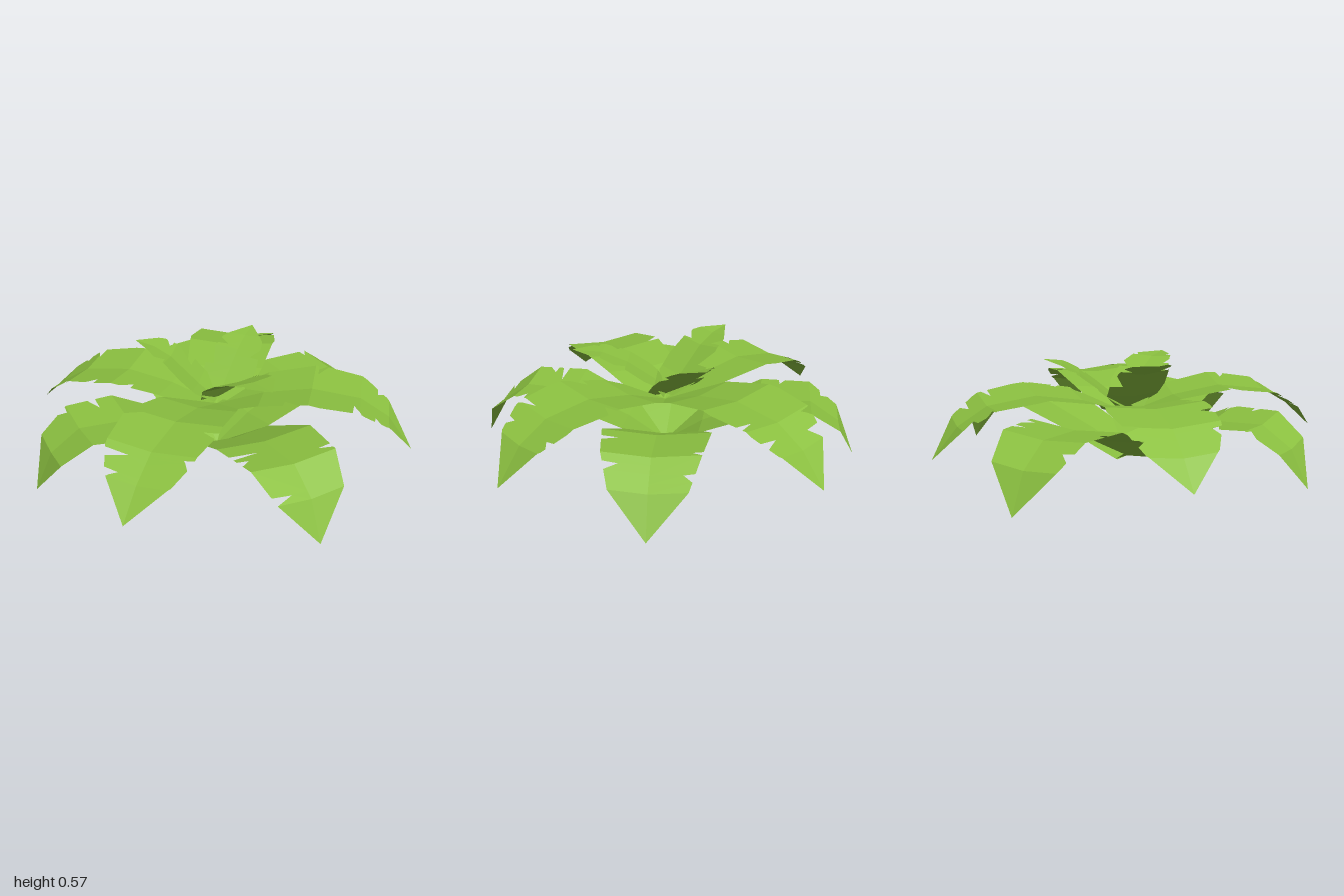
import * as THREE from 'three';

// Piecewise linear lookup in a list of [t, value] knots.
function sample(knots, t) {
  for (let i = 1; i < knots.length; i++) {
    const [t0, v0] = knots[i - 1], [t1, v1] = knots[i];
    if (t <= t1) return v0 + (v1 - v0) * (t - t0) / (t1 - t0);
  }
  return knots[knots.length - 1][1];
}

// Leaf blade along +z: height profile, half-width outline, raised edges,
// and torn notches given as [side, position, depth, length].
function leafGeometry(profile, outline, fold, notches) {
  const pos = [];
  const end = profile[profile.length - 1][0];
  for (const side of [-1, 1]) {
    const cuts = notches.filter((n) => n[0] === side);
    const ts = [...profile, ...outline].map((k) => k[0]);
    for (const [, t, , len] of cuts) ts.push(t - 0.004, t, t + len);
    const stations = [...new Set(ts)].filter((t) => t <= end).sort((a, b) => a - b);
    const rib = (t) => [0, sample(profile, t), t];
    const edge = (t) => {
      let w = sample(outline, t);
      for (const [, t0, depth, len] of cuts) {
        if (t >= t0 && t < t0 + len) w -= depth * (1 - (t - t0) / len);
      }
      w = Math.max(w, 0);
      return [side * w, sample(profile, t) + fold * w, t];
    };
    for (let i = 1; i < stations.length; i++) {
      const a = rib(stations[i - 1]), b = rib(stations[i]);
      const c = edge(stations[i - 1]), d = edge(stations[i]);
      const tris = side > 0 ? [a, b, c, c, b, d] : [a, c, b, c, d, b];
      pos.push(...tris.flat());
    }
  }
  const g = new THREE.BufferGeometry();
  g.setAttribute('position', new THREE.Float32BufferAttribute(pos, 3));
  g.computeVertexNormals();
  return g;
}

export function createModel() {
  const group = new THREE.Group();
  const green = new THREE.MeshStandardMaterial({ color: 0x8bc040, flatShading: true, side: THREE.DoubleSide });
  green.name = 'leafGreen';

  function addLeaf(name, x, z, profile, outline, fold, notches) {
    const leaf = new THREE.Mesh(leafGeometry(profile, outline, fold, notches), green);
    leaf.name = name;
    leaf.rotation.y = Math.atan2(x, z);
    group.add(leaf);
  }

  // Lower ring: four arching leaves whose tips touch the ground
  const lowProfile = [[0, 0.01], [0.2, 0.14], [0.5, 0.27], [0.76, 0.285], [0.91, 0.185], [1, 0]];
  const lowOutline = [[0, 0.12], [0.1, 0.17], [0.2, 0.21], [0.5, 0.26], [0.76, 0.225], [0.91, 0.175], [1, 0]];
  const lowLeaves = [
    ['lowerLeafFront', -0.01, 1, [[-1, 0.6, 0.15, 0.03], [-1, 0.66, 0.06, 0.04], [-1, 0.88, 0.1, 0.03], [1, 0.71, 0.07, 0.03]]],
    ['lowerLeafBack', 0, -1, [[-1, 0.54, 0.05, 0.06], [-1, 0.65, 0.06, 0.03], [1, 0.6, 0.05, 0.03], [1, 0.82, 0.06, 0.04]]],
    ['lowerLeafLeft', 1, -0.07, [[1, 0.73, 0.05, 0.03], [1, 0.84, 0.05, 0.03], [-1, 0.58, 0.08, 0.04], [-1, 0.8, 0.07, 0.03]]],
    ['lowerLeafRight', -1, -0.02, [[-1, 0.6, 0.09, 0.04], [-1, 0.77, 0.05, 0.04], [1, 0.48, 0.06, 0.05], [1, 0.63, 0.05, 0.03]]],
  ];
  for (const [name, x, z, notches] of lowLeaves) {
    addLeaf(name, x, z, lowProfile, lowOutline, 0.09, notches);
  }

  // Middle ring: four diagonal leaves
  const midOutline = [[0, 0.08], [0.12, 0.17], [0.25, 0.21], [0.56, 0.25], [0.78, 0.22], [0.89, 0.165], [1.03, 0]];
  const midLeaves = [
    ['middleLeafFrontLeft', 0.79, 0.65, 0.09, [[1, 0.52, 0.09, 0.05], [1, 0.84, 0.05, 0.03], [-1, 0.38, 0.06, 0.07], [-1, 0.72, 0.1, 0.04], [-1, 0.83, 0.05, 0.03]]],
    ['middleLeafFrontRight', -0.8, 0.65, 0.14, [[1, 0.56, 0.08, 0.04], [1, 0.77, 0.05, 0.04], [-1, 0.5, 0.07, 0.05], [-1, 0.79, 0.12, 0.03], [-1, 0.87, 0.07, 0.03]]],
    ['middleLeafBackRight', -0.74, -0.74, 0.15, [[1, 0.4, 0.05, 0.06], [1, 0.6, 0.06, 0.05], [1, 0.78, 0.05, 0.04], [-1, 0.74, 0.09, 0.04], [-1, 0.82, 0.05, 0.03]]],
    ['middleLeafBackLeft', 0.62, -0.81, 0.11, [[1, 0.76, 0.06, 0.04], [1, 0.84, 0.08, 0.06], [-1, 0.7, 0.1, 0.03], [-1, 0.82, 0.1, 0.03]]],
  ];
  for (const [name, x, z, tipY, notches] of midLeaves) {
    const profile = [[0, 0.25], [0.25, 0.34], [0.5, 0.385], [0.75, 0.355], [0.9, 0.265], [1.03, tipY]];
    addLeaf(name, x, z, profile, midOutline, 0.1, notches);
  }

  // Crown: three young leaves, one reaching forward and two standing up behind
  addLeaf('crownLeafFront', 0.04, 0.5,
    [[0, 0.29], [0.05, 0.36], [0.2, 0.455], [0.33, 0.505], [0.49, 0.515]],
    [[0, 0.1], [0.1, 0.145], [0.25, 0.135], [0.37, 0.1], [0.49, 0]], 0.06,
    [[1, 0.2, 0.05, 0.05], [1, 0.33, 0.03, 0.03], [-1, 0.26, 0.03, 0.04], [-1, 0.36, 0.03, 0.03]]);
  const backOutline = [[0, 0.06], [0.08, 0.14], [0.16, 0.15], [0.31, 0.12], [0.44, 0]];
  addLeaf('crownLeafBackRight', -0.33, -0.28,
    [[0, 0.28], [0.1, 0.36], [0.25, 0.5], [0.34, 0.55], [0.44, 0.575]], backOutline, 0.12,
    [[1, 0.26, 0.05, 0.04], [-1, 0.16, 0.07, 0.07], [-1, 0.27, 0.06, 0.03]]);
  addLeaf('crownLeafBackLeft', 0.37, -0.26,
    [[0, 0.28], [0.1, 0.35], [0.25, 0.47], [0.34, 0.52], [0.45, 0.55]], backOutline, 0.03,
    [[-1, 0.22, 0.05, 0.04], [1, 0.16, 0.05, 0.08], [1, 0.27, 0.06, 0.03]]);

  return group;
}
